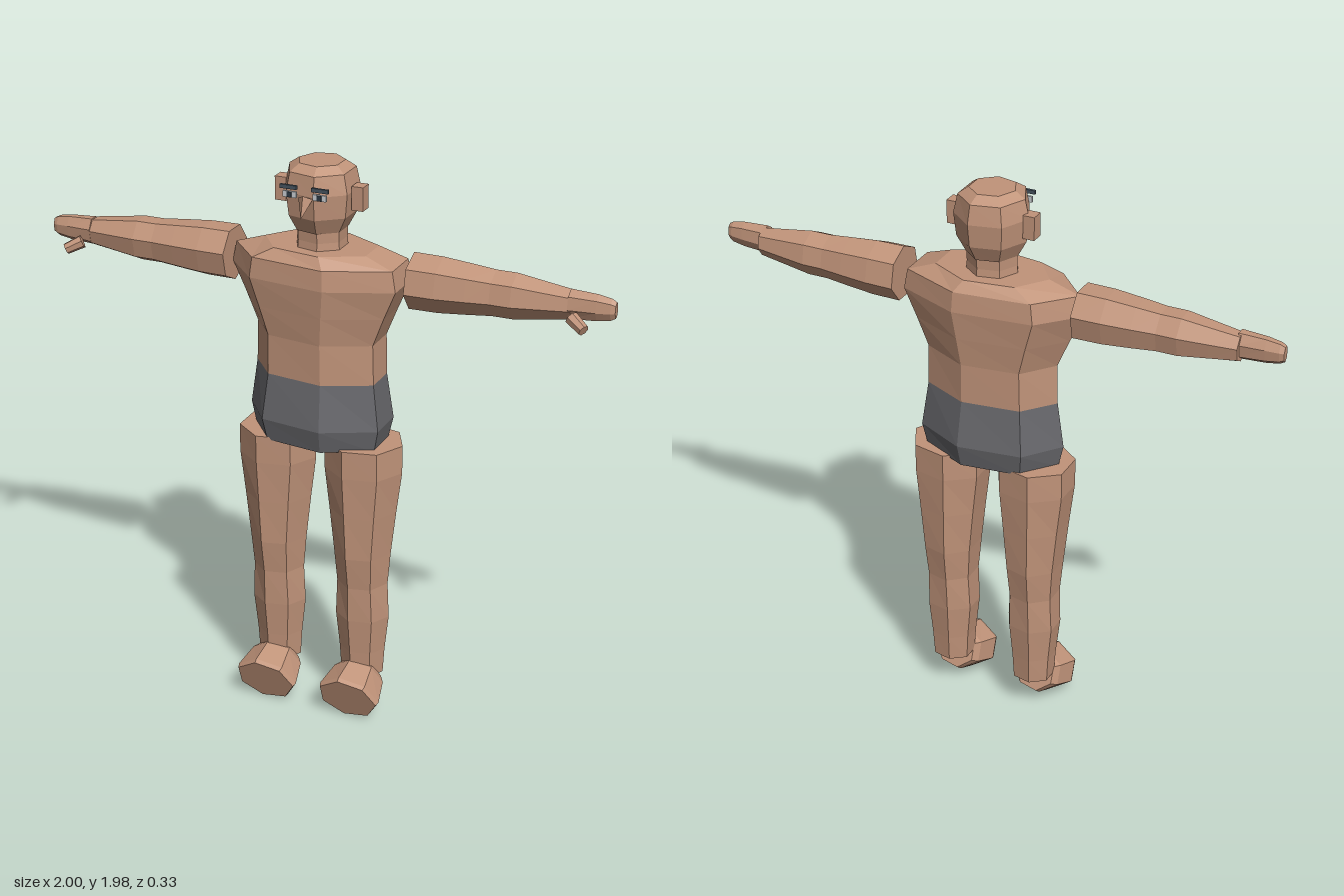
import * as THREE from 'three';

const SIDES = 7;

// Faceted seven-sided loft along y. Each ring: [y, radiusX, radiusZ, centreX, centreZ].
function loft(rings, phase = 0) {
  const pos = [];
  const point = ([y, rx, rz, cx = 0, cz = 0], j) => {
    const a = phase + (j / SIDES) * Math.PI * 2;
    return [cx + rx * Math.cos(a), y, cz + rz * Math.sin(a)];
  };
  const centre = ([y, , , cx = 0, cz = 0]) => [cx, y, cz];
  const first = rings[0], last = rings[rings.length - 1];
  for (let j = 0; j < SIDES; j++) {
    for (let i = 0; i < rings.length - 1; i++) {
      const a = point(rings[i], j), b = point(rings[i + 1], j);
      const c = point(rings[i + 1], j + 1), d = point(rings[i], j + 1);
      pos.push(...a, ...b, ...c, ...a, ...c, ...d);
    }
    pos.push(...centre(first), ...point(first, j), ...point(first, j + 1));
    pos.push(...centre(last), ...point(last, j + 1), ...point(last, j));
  }
  const g = new THREE.BufferGeometry();
  g.setAttribute('position', new THREE.Float32BufferAttribute(pos, 3));
  g.computeVertexNormals();
  return g;
}

export function createModel() {
  const model = new THREE.Group();
  model.name = 'figure';
  const material = (name, color) => {
    const m = new THREE.MeshStandardMaterial({ color, flatShading: true });
    m.name = name;
    return m;
  };
  const skin = material('skin', 0xc1947a);
  const cloth = material('greyCloth', 0x68686c);
  const brow = material('browSlate', 0x45525e);
  const white = material('eyeWhite', 0xc8ccd0);
  const pupil = material('pupil', 0x2c3844);

  const add = (name, geometry, mat, x = 0, y = 0, z = 0) => {
    const mesh = new THREE.Mesh(geometry, mat);
    mesh.name = name;
    mesh.position.set(x, y, z);
    model.add(mesh);
    return mesh;
  };

  // Torso and shorts share the ring at the waist
  const waist = [1.26, 0.236, 0.135];
  add('torso', loft([
    waist,
    [1.4, 0.232, 0.138],
    [1.5, 0.275, 0.152],
    [1.6, 0.322, 0.165],
    [1.67, 0.308, 0.16],
    [1.705, 0.2, 0.13],
  ], Math.PI), skin);
  add('shorts', loft([[1.02, 0.242, 0.14], [1.1, 0.26, 0.16], waist], Math.PI), cloth);

  // Neck and head
  add('neck', loft([[1.66, 0.092, 0.088], [1.73, 0.086, 0.082], [1.79, 0.088, 0.085]], Math.PI), skin);
  add('head', loft([
    [1.765, 0.088, 0.09],
    [1.82, 0.118, 0.12],
    [1.9, 0.127, 0.13],
    [1.965, 0.112, 0.118],
    [1.988, 0.078, 0.08],
  ], Math.PI), skin);

  // Nose: a four-sided cone pointing down and forward
  const tip = new THREE.Vector3(0, 1.836, 0.163), root = new THREE.Vector3(0, 1.895, 0.125);
  const noseAxis = tip.clone().sub(root);
  const nose = add('nose', new THREE.ConeGeometry(0.025, noseAxis.length(), 4), skin);
  nose.position.copy(root).lerp(tip, 0.5);
  nose.quaternion.setFromUnitVectors(new THREE.Vector3(0, 1, 0), noseAxis.normalize());

  for (const s of [1, -1]) {
    const side = s > 0 ? 'left' : 'right';

    // Face details and ears
    add(side + 'Ear', new THREE.BoxGeometry(0.04, 0.08, 0.046), skin, s * 0.135, 1.88, 0);
    add(side + 'Eye', new THREE.BoxGeometry(0.046, 0.02, 0.008), white, s * 0.052, 1.905, 0.131);
    add(side + 'Pupil', new THREE.BoxGeometry(0.016, 0.018, 0.008), pupil, s * 0.052, 1.905, 0.134);
    add(side + 'Brow', new THREE.BoxGeometry(0.058, 0.013, 0.009), brow, s * 0.055, 1.93, 0.134);

    // Arm, hand and thumb
    const arm = add(side + 'Arm', loft([
      [0.32, 0.095, 0.095],
      [0.42, 0.094, 0.093],
      [0.52, 0.085, 0.083],
      [0.6, 0.077, 0.073],
      [0.67, 0.077, 0.073],
      [0.77, 0.062, 0.058],
      [0.86, 0.049, 0.044],
    ], Math.PI), skin, 0, 1.623, -0.012);
    arm.rotation.z = -s * Math.PI / 2;
    const hand = add(side + 'Hand', loft([
      [0.85, 0.05, 0.036],
      [0.94, 0.045, 0.028],
      [0.985, 0.037, 0.022],
      [1, 0.028, 0.016],
    ], Math.PI), skin, 0, 1.628, -0.002);
    hand.rotation.z = -s * Math.PI / 2;
    const thumb = add(side + 'Thumb', new THREE.CylinderGeometry(0.019, 0.023, 0.062, SIDES), skin,
      s * 0.895, 1.588, 0.06);
    thumb.quaternion.setFromUnitVectors(new THREE.Vector3(0, 1, 0),
      new THREE.Vector3(-s * 0.05, 0.026, -0.028).normalize().negate());

    // Leg
    add(side + 'Leg', loft([
      [0.145, 0.076, 0.07],
      [0.24, 0.082, 0.077],
      [0.37, 0.096, 0.089],
      [0.5, 0.09, 0.095],
      [0.62, 0.1, 0.112],
      [0.78, 0.118, 0.12],
      [0.93, 0.137, 0.127],
      [1.03, 0.137, 0.129],
    ]), skin, s * 0.158, 0, -0.003);

    // Foot: a stubby block tilted forward and down
    const foot = add(side + 'Foot', loft([
      [-0.066, 0.076, 0.074],
      [-0.04, 0.094, 0.084],
      [0.05, 0.113, 0.092],
      [0.066, 0.108, 0.089],
    ]), skin, s * 0.158, 0.113, 0.075);
    foot.rotation.x = Math.PI / 2 + 0.36;
  }
  return model;
}
